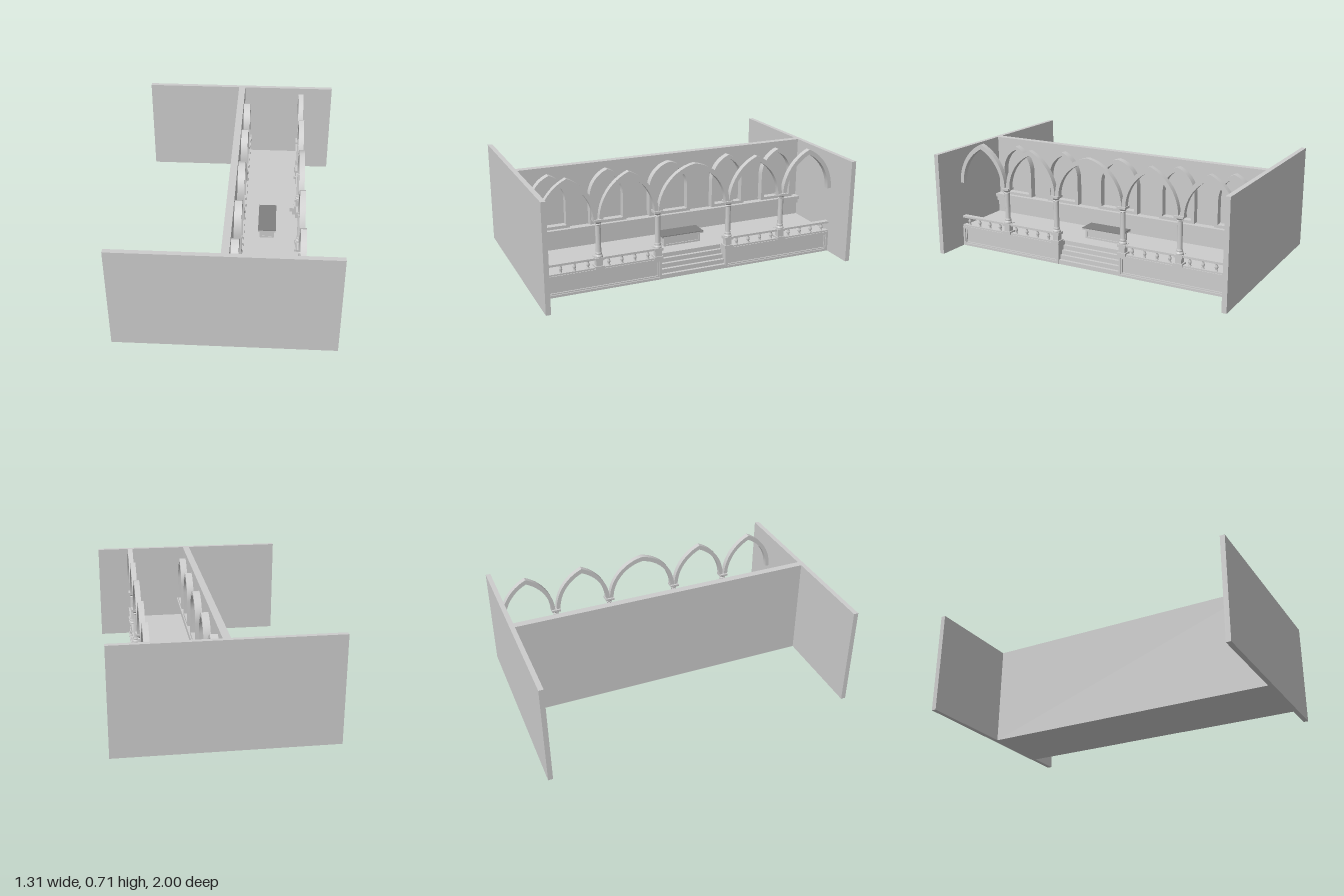
import * as THREE from 'three';
import { toCreasedNormals } from 'three/addons/utils/BufferGeometryUtils.js';

export function createModel() {
  const model = new THREE.Group();
  model.name = 'arcadedHall';
  const stone = new THREE.MeshStandardMaterial({ name: 'stone', color: 0xcccccc });
  const darkStone = new THREE.MeshStandardMaterial({ name: 'darkStone', color: 0x808080 });

  const add = (name, geometry, x = 0, y = 0, z = 0, material = stone) => {
    const mesh = new THREE.Mesh(geometry, material);
    mesh.name = name;
    mesh.position.set(x, y, z);
    model.add(mesh);
    return mesh;
  };
  // Box given by its limits on each axis
  const box = (name, x0, x1, y0, y1, z0, z1, material) =>
    add(name, new THREE.BoxGeometry(x1 - x0, y1 - y0, z1 - z0),
      (x0 + x1) / 2, (y0 + y1) / 2, (z0 + z1) / 2, material);
  // Shape drawn in the z-y plane, extruded towards +x
  const slab = (name, shape, x0, x1, z = 0) => {
    const g = new THREE.ExtrudeGeometry(shape, { depth: x1 - x0, bevelEnabled: false });
    g.rotateY(Math.PI / 2);
    return add(name, toCreasedNormals(g, 0.5), x0, 0, z);
  };
  // Points of a pointed arch from +w over the apex to -w
  const pointedArch = (w, spring, rise, n = 12) => {
    const r = (w * w + rise * rise) / (2 * w);
    const end = Math.atan2(rise, r - w);
    const half = [];
    for (let i = 0; i <= n; i++) {
      const a = (end * i) / n;
      half.push(new THREE.Vector2(w - r + r * Math.cos(a), spring + r * Math.sin(a)));
    }
    const other = half.slice(0, -1).reverse().map(p => new THREE.Vector2(-p.x, p.y));
    return half.concat(other);
  };
  // Rectangular frame facing +x
  const frame = (name, x0, x1, y0, y1, w, border, z) => {
    const rect = (a, b, c) => [[-a, b], [a, b], [a, c], [-a, c]].map(p => new THREE.Vector2(...p));
    const s = new THREE.Shape(rect(w, y0, y1));
    s.holes.push(new THREE.Path(rect(w - border, y0 + border, y1 - border)));
    return slab(name, s, x0, x1, z);
  };

  // Walls and floor
  for (const s of [-1, 1]) box('endWall', -0.655, 0.655, 0, 0.66, s * 0.985 - 0.015, s * 0.985 + 0.015);
  box('backWall', -0.015, 0.03, 0, 0.66, -0.97, 0.97);
  box('floor', 0.03, 0.37, 0, 0.133, -0.97, 0.97);

  // Steps
  for (let i = 0; i < 4; i++) {
    box('step', 0.37, 0.448 - i * 0.0195, i * 0.0266, (i + 1) * 0.0266, -0.215, 0.215);
  }

  // Wall ledge with mouldings
  box('wainscot', 0.03, 0.05, 0.133, 0.215, -0.97, 0.97);
  box('ledgeMoulding', 0.03, 0.065, 0.215, 0.245, -0.97, 0.97);
  box('ledge', 0.03, 0.08, 0.245, 0.267, -0.97, 0.97);

  // Blind window frames on the back wall, and the open arcade in front
  const bays = [[0, 0.236, 0.143], [0.42, 0.187, 0.12], [-0.42, 0.187, 0.12],
    [0.793, 0.18, 0.12], [-0.793, 0.18, 0.12]];
  for (const [z, half, w] of bays) {
    const outline = (a, bottom, rise) => [new THREE.Vector2(-a, bottom), new THREE.Vector2(a, bottom),
      ...pointedArch(a, 0.45, rise)];
    const win = new THREE.Shape(outline(w, 0.275, 0.17));
    win.holes.push(new THREE.Path(outline(w - 0.022, 0.293, 0.145)));
    slab('windowFrame', win, 0.03, 0.075, z);

    const outer = pointedArch(half - 0.002, 0.432, 0.274);
    const inner = pointedArch(half - 0.027, 0.432, 0.242).reverse();
    slab('arch', new THREE.Shape([...outer, ...inner]), 0.413, 0.447, z);
  }

  // Columns on pedestals
  const columnProfile = [[0, 0.205], [0.025, 0.205], [0.025, 0.213], [0.019, 0.222], [0.02, 0.23],
    [0.0165, 0.238], [0.0165, 0.405], [0.02, 0.408], [0.0165, 0.414], [0.026, 0.427], [0, 0.427]]
    .map(p => new THREE.Vector2(...p));
  const columnGeometry = toCreasedNormals(new THREE.LatheGeometry(columnProfile, 20), 0.5);
  for (const z of [-0.61, -0.236, 0.236, 0.61]) {
    box('pedestalBase', 0.4, 0.455, 0.133, 0.152, z - 0.028, z + 0.028);
    box('pedestal', 0.41, 0.448, 0.152, 0.188, z - 0.02, z + 0.02);
    box('pedestalCap', 0.402, 0.456, 0.188, 0.205, z - 0.027, z + 0.027);
    add('column', columnGeometry, 0.43, 0, z);
    box('capital', 0.4, 0.458, 0.427, 0.441, z - 0.029, z + 0.029);
  }

  // Front base walls with recessed panels, and balustrades
  const balusterProfile = [[0.009, 0.143], [0.009, 0.148], [0.005, 0.152], [0.0105, 0.163],
    [0.009, 0.172], [0.005, 0.183], [0.009, 0.187], [0.009, 0.191]].map(p => new THREE.Vector2(...p));
  const balusterGeometry = new THREE.LatheGeometry(balusterProfile, 12);
  for (const s of [-1, 1]) {
    const z = s * 0.5925;
    box('baseWall', 0.37, 0.435, 0, 0.133, z - 0.3775, z + 0.3775);
    frame('panelBorder', 0.435, 0.45, 0, 0.133, 0.3775, 0.015, z);
    frame('panelMoulding', 0.435, 0.443, 0.015, 0.118, 0.3625, 0.008, z);
    for (const [a, b] of [[0.26, 0.588], [0.632, 0.97]]) {
      const mid = (s * (a + b)) / 2, h = (b - a) / 2;
      box('balustradeSill', 0.415, 0.445, 0.133, 0.143, mid - h, mid + h);
      box('handrail', 0.413, 0.447, 0.191, 0.204, mid - h, mid + h);
      for (let i = 0; i < 4; i++) {
        add('baluster', balusterGeometry, 0.43, 0, mid + (i - 1.5) * 0.083);
      }
    }
  }

  // Table with panelled sides
  box('tableBody', 0.182, 0.263, 0.133, 0.19, -0.122, 0.122);
  frame('tableFrontPanel', 0.263, 0.269, 0.133, 0.19, 0.125, 0.011, 0);
  frame('tableBackPanel', 0.176, 0.182, 0.133, 0.19, 0.125, 0.011, 0);
  for (const s of [-1, 1]) {
    const p = frame('tableEndPanel', 0, 0.004, 0.133, 0.19, 0.042, 0.011, s * 0.122);
    p.position.x = 0.2225;
    p.rotation.y = -s * Math.PI / 2;
  }
  box('tableSlab', 0.165, 0.28, 0.19, 0.2, -0.143, 0.143);
  box('tableTop', 0.165, 0.28, 0.2, 0.204, -0.143, 0.143, darkStone);

  return model;
}
